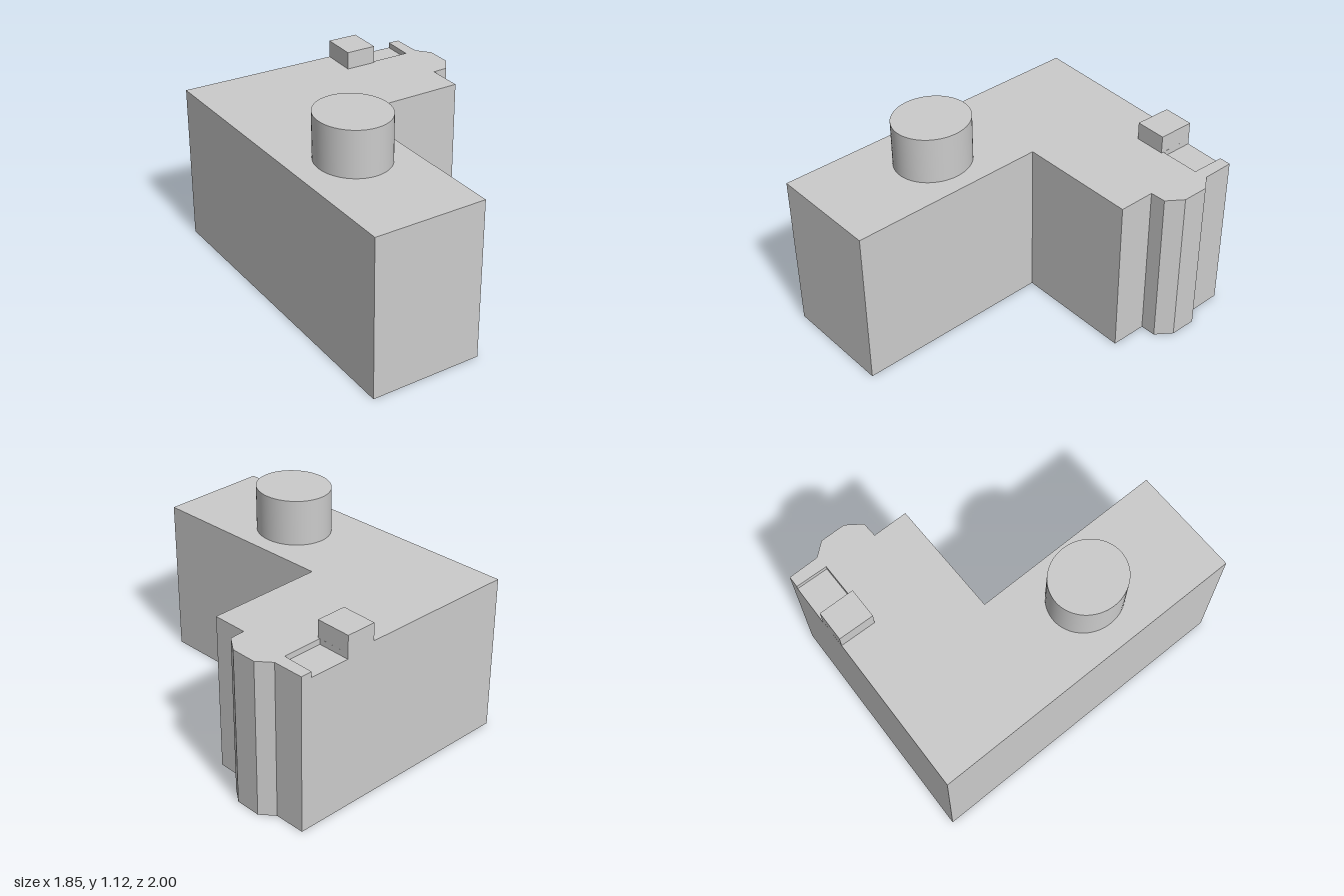
import * as THREE from 'three';
import { mergeGeometries } from 'three/addons/utils/BufferGeometryUtils.js';

const material = new THREE.MeshStandardMaterial({ color: 0xcccccc, side: THREE.DoubleSide });

// Upright walls along a closed floor plan of [x, z] corners, clockwise from above
function walls(plan, bottom, top) {
  const positions = [];
  plan.forEach(([ax, az], i) => {
    const [bx, bz] = plan[(i + 1) % plan.length];
    positions.push(bx, bottom, bz, ax, bottom, az, ax, top, az);
    positions.push(bx, bottom, bz, ax, top, az, bx, top, bz);
  });
  const geometry = new THREE.BufferGeometry();
  geometry.setAttribute('position', new THREE.Float32BufferAttribute(positions, 3));
  geometry.computeVertexNormals();
  return geometry;
}

// Flat surface filling a floor plan at height y
function slab(plan, y) {
  const shape = new THREE.Shape(plan.map(([x, z]) => new THREE.Vector2(x, -z)));
  const geometry = new THREE.ShapeGeometry(shape).rotateX(-Math.PI / 2).translate(0, y, 0);
  geometry.deleteAttribute('uv');
  return geometry.toNonIndexed();
}

export function createModel() {
  const group = new THREE.Group();
  group.name = 'building';
  const add = (name, ...geometries) => {
    const mesh = new THREE.Mesh(mergeGeometries(geometries), material);
    mesh.name = name;
    group.add(mesh);
    return mesh;
  };
  const roof = 0.865, recessFloor = 0.835, drumTop = 1.115;

  // L-shaped plan with a faceted bay at the end of the rear wing
  const westCorner = [-0.927, 0.133];
  const rest = [
    [-0.24, -1], [-0.092, -0.918], [0, -0.935], [0.122, -0.865], [0.165, -0.772],
    [0.127, -0.698], [0.297, -0.602], [-0.015, -0.043], [0.927, 0.474], [0.637, 1],
  ];
  // Shallow roof recess opening onto the long outer wall
  const recess = [[-0.388, -0.756], [-0.23, -0.664], [-0.12, -0.855], [-0.272, -0.947]];
  const roofPlan = [westCorner, ...recess, ...rest];

  // Hollow shell, open underneath
  add('walls', walls([westCorner, ...rest], 0, recessFloor));
  add('roof', walls(roofPlan, recessFloor, roof), slab(roofPlan, roof));
  add('roofRecess', slab(recess, recessFloor));

  // Small rooftop block beside the recess
  const block = [[-0.388, -0.756], [-0.219, -0.657], [-0.304, -0.511], [-0.474, -0.613]];
  add('roofBlock', walls(block, roof, 0.961), slab(block, 0.961));

  // Slightly oval drum, long axis along the front wing
  const drum = add('roofDrum', new THREE.CylinderGeometry(1, 1, drumTop - roof, 64));
  drum.scale.set(0.207, 1, 0.191);
  drum.rotation.y = -0.5;
  drum.position.set(0.213, (roof + drumTop) / 2, 0.404);

  return group;
}
